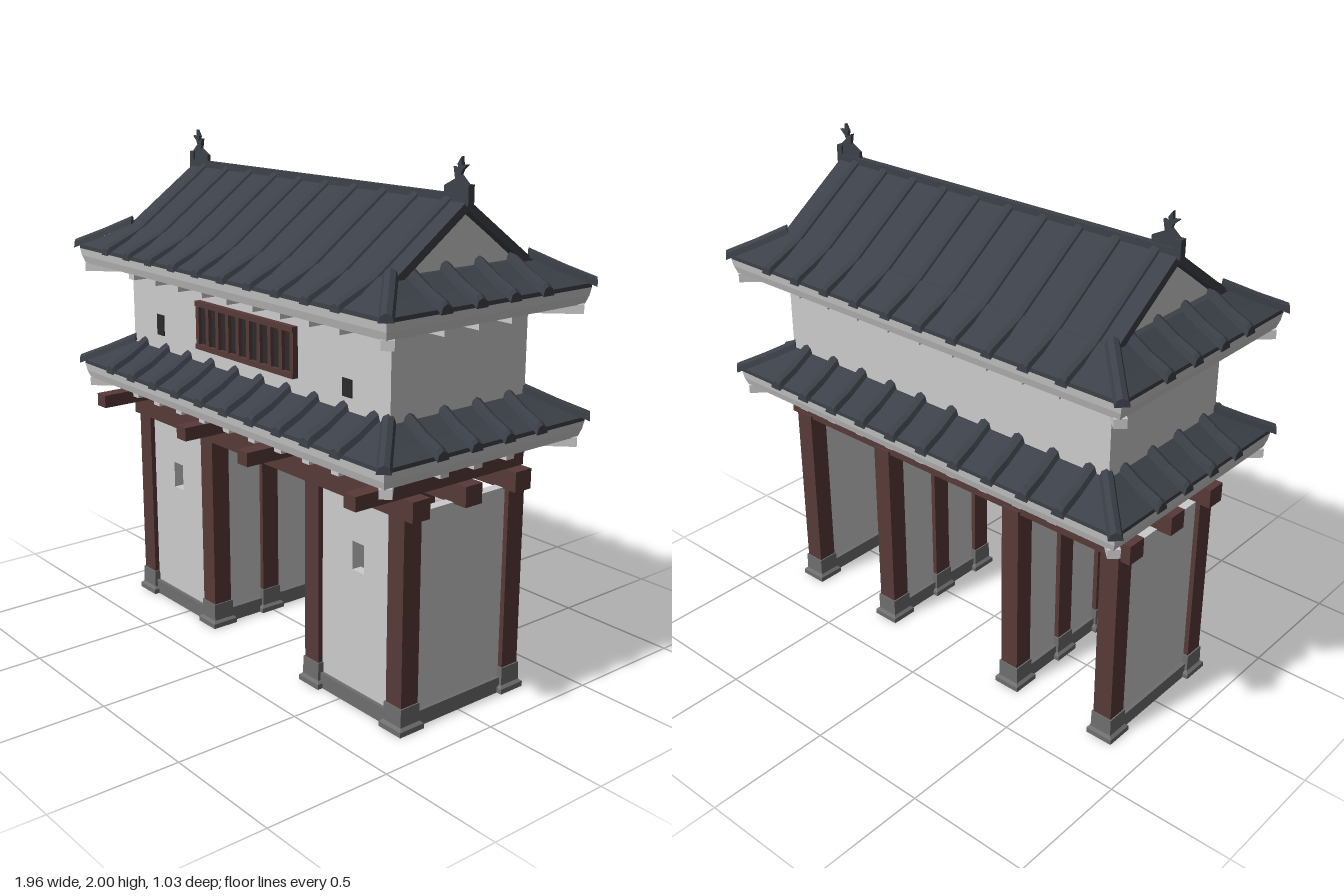
import * as THREE from 'three';

const mat = (color) => new THREE.MeshStandardMaterial({ color, flatShading: true });
const V = (x, y, z) => new THREE.Vector3(x, y, z);

// Flat-shaded skin over closed rings that run counter-clockwise about the direction of travel
function loft(rings) {
  const pos = [];
  const tri = (...pts) => pts.forEach((p) => pos.push(p.x, p.y, p.z));
  const n = rings[0].length;
  for (let k = 0; k + 1 < rings.length; k++) {
    for (let i = 0; i < n; i++) {
      const j = (i + 1) % n, a = rings[k], b = rings[k + 1];
      tri(a[i], a[j], b[j]);
      tri(a[i], b[j], b[i]);
    }
  }
  const first = rings[0], last = rings[rings.length - 1];
  for (let i = 1; i + 1 < n; i++) {
    tri(first[0], first[i + 1], first[i]);
    tri(last[0], last[i], last[i + 1]);
  }
  const g = new THREE.BufferGeometry();
  g.setAttribute('position', new THREE.Float32BufferAttribute(pos, 3));
  g.computeVertexNormals();
  return g;
}

// Stacked rectangles [halfX, halfZ, y]
const stack = (levels) => loft(levels.map(([x, z, y]) =>
  [V(x, y, z), V(x, y, -z), V(-x, y, -z), V(-x, y, z)]));

// Half-round tile roll along a path from eave to ridge; out is the horizontal outward direction
function roll(path, out, r, h) {
  const s = out.clone().cross(V(0, 1, 0)).normalize();
  return loft(path.map((p) => [0, 1, 2, 3, 4].map((k) => {
    const a = (k * Math.PI) / 4;
    return p.clone().addScaledVector(s, Math.cos(a) * r).add(V(0, Math.sin(a) * h, 0));
  })));
}

export function createModel() {
  const root = new THREE.Group();
  const grey = mat(0xcccccc), stone = mat(0x6e6e6e), wood = mat(0x573a38);
  const tile = mat(0x3c4149), dark = mat(0x2b2b2b);

  const add = (name, geo, m, parent = root) => {
    const mesh = new THREE.Mesh(geo, m);
    mesh.name = name;
    parent.add(mesh);
    return mesh;
  };
  // Box given by its extents
  const box = (name, m, x0, x1, y0, y1, z0, z1, parent = root) => {
    const mesh = add(name, new THREE.BoxGeometry(x1 - x0, y1 - y0, z1 - z0), m, parent);
    mesh.position.set((x0 + x1) / 2, (y0 + y1) / 2, (z0 + z1) / 2);
    return mesh;
  };

  // Posts on flared stone feet
  const post = (x, z) => {
    box('post', wood, x - 0.04, x + 0.04, 0.09, 0.82, z - 0.04, z + 0.04);
    const foot = stack([[0.057, 0.057, 0], [0.057, 0.057, 0.02], [0.046, 0.046, 0.03], [0.045, 0.045, 0.1]]);
    add('postFoot', foot, stone).position.set(x, 0, z);
  };
  for (const s of [-1, 1]) {
    post(s * 0.8, 0.25);
    post(s * 0.8, -0.26);
    for (const z of [0.25, 0, -0.26]) post(s * 0.34, z);

    // Side walls of each bay, open to the rear
    for (const x of [s * 0.8, s * 0.34]) {
      box('sideWall', grey, x - 0.02, x + 0.02, 0.06, 0.81, -0.23, 0.22);
      box('sidePlinth', stone, x - 0.035, x + 0.035, 0, 0.06, -0.23, 0.22);
    }
    // Front wall with a small opening
    const wall = new THREE.Shape();
    wall.moveTo(-0.2, 0.06).lineTo(0.2, 0.06).lineTo(0.2, 0.81).lineTo(-0.2, 0.81).closePath();
    const hole = new THREE.Path();
    const hx = s * 0.01;
    hole.moveTo(hx - 0.032, 0.53).lineTo(hx - 0.032, 0.64).lineTo(hx + 0.032, 0.64).lineTo(hx + 0.032, 0.53).closePath();
    wall.holes.push(hole);
    add('frontWall', new THREE.ExtrudeGeometry(wall, { depth: 0.04, bevelEnabled: false }), grey)
      .position.set(s * 0.57, 0, 0.23);
    box('frontPlinth', stone, s * 0.57 - 0.2, s * 0.57 + 0.2, 0, 0.06, 0.215, 0.285);
  }

  // Timber floor frame
  for (const z of [0.25, 0, -0.25]) {
    box('longBeam', wood, -0.88, 0.88, 0.805, 0.882, z - 0.04, z + 0.04);
    box('upperLongBeam', wood, -0.84, 0.84, 0.93, 0.975, z - 0.045, z + 0.045);
  }
  for (const x of [-0.8, -0.2, 0.2, 0.8]) box('crossBeam', wood, x - 0.03, x + 0.03, 0.882, 0.935, -0.3, 0.5);
  box('floor', wood, -0.82, 0.82, 0.965, 1.0, -0.3, 0.3);

  // Upper storey
  box('upperWall', grey, -0.8, 0.8, 0.985, 1.52, -0.325, 0.325);
  const grille = new THREE.Group();
  grille.name = 'grilleWindow';
  root.add(grille);
  box('grilleBack', dark, -0.3, 0.3, 1.21, 1.38, 0.32, 0.332, grille);
  for (const y of [1.2, 1.37]) box('grilleRail', wood, -0.31, 0.305, y, y + 0.02, 0.32, 0.35, grille);
  for (let i = 0; i <= 9; i++) {
    const x = -0.3 + i * 0.0661;
    box('grilleBar', wood, x - 0.01, x + 0.01, 1.215, 1.375, 0.32, 0.346, grille);
  }
  box('smallWindow', dark, -0.62, -0.57, 1.2, 1.285, 0.31, 0.329);
  box('smallWindow', dark, 0.555, 0.605, 1.19, 1.255, 0.31, 0.329);

  // Hipped skirt roof with eave band, rafters and tile rolls; y is the eave line
  const skirt = (y, longRolls) => {
    const roof = new THREE.Group();
    roof.name = 'skirtRoof';
    roof.position.y = y;
    root.add(roof);
    add('eave', stack([[0.79, 0.32, -0.045], [0.91, 0.445, -0.045], [0.915, 0.45, -0.06],
      [0.935, 0.47, -0.06], [0.945, 0.48, -0.03], [0.95, 0.485, 0]]), grey, roof);
    add('tileSlope', stack([[0.95, 0.485, 0], [0.95, 0.485, 0.015], [0.88, 0.41, 0.05], [0.8, 0.33, 0.1]]), tile, roof);
    for (const turn of [0, 1, 2, 3]) {
      const side = new THREE.Group();
      side.name = 'roofSide';
      side.rotation.y = (turn * Math.PI) / 2;
      roof.add(side);
      const d = turn % 2 ? 0.465 : 0;
      const count = turn % 2 ? 4 : 10;
      for (let i = 0; i < count; i++) {
        const x = (i - (count - 1) / 2) * 0.16;
        if (longRolls || turn % 2) {
          add('tileRoll', roll([V(x, 0, 0.502 + d), V(x, 0.012, 0.49 + d), V(x, 0.047, 0.412 + d), V(x, 0.1, 0.325 + d)],
            V(0, 0, 1), 0.028, 0.034), tile, side);
        }
        if (i) box('rafter', grey, x - 0.1, x - 0.06, -0.095, -0.045, 0.31 + d, 0.43 + d, side);
      }
    }
    // Hip ridges and corner rafters
    for (const sx of [-1, 1]) for (const sz of [-1, 1]) {
      const at = (x, z, h) => V(sx * x, h, sz * z);
      const out = V(sx, 0, sz);
      add('hipRidge', roll([at(0.962, 0.497, 0.005), at(0.95, 0.485, 0.012), at(0.88, 0.415, 0.05), at(0.79, 0.325, 0.105)],
        out, 0.026, 0.032), tile, roof);
      const rafter = add('cornerRafter', new THREE.BoxGeometry(0.045, 0.035, 0.24), grey, roof);
      rafter.position.set(sx * 0.85, -0.075, sz * 0.38);
      rafter.rotation.y = Math.atan2(sx, sz);
    }
  };
  skirt(1.04, true);
  skirt(1.53, false);

  // Gabled main roof
  const profile = (pts) => {
    const sh = new THREE.Shape();
    pts.forEach(([z, y], i) => (i ? sh.lineTo(z, y) : sh.moveTo(z, y)));
    sh.closePath();
    return sh;
  };
  const alongX = (name, pts, half, m) => {
    const g = new THREE.ExtrudeGeometry(profile(pts), { depth: half * 2, bevelEnabled: false });
    g.translate(0, 0, -half);
    add(name, g, m).rotation.y = Math.PI / 2;
  };
  alongX('mainRoof', [[0.36, 1.605], [0, 1.86], [-0.36, 1.605], [-0.33, 1.59], [0, 1.822], [0.33, 1.59]], 0.81, tile);
  alongX('gableWall', [[-0.31, 1.6], [0.31, 1.6], [0, 1.825]], 0.775, grey);
  for (const turn of [0, Math.PI]) {
    const slope = new THREE.Group();
    slope.name = 'roofSlope';
    slope.rotation.y = turn;
    root.add(slope);
    for (let i = 0; i < 10; i++) {
      const x = (i - 4.5) * 0.16;
      add('longTileRoll', roll([V(x, 1.53, 0.502), V(x, 1.54, 0.49), V(x, 1.6, 0.35), V(x, 1.845, 0.005)],
        V(0, 0, 1), 0.024, 0.03), tile, slope);
    }
  }
  box('ridgeCap', tile, -0.81, 0.81, 1.835, 1.875, -0.014, 0.014);

  // Upturned fish-tail finials at both ridge ends
  for (const turn of [0, Math.PI]) {
    const finial = new THREE.Group();
    finial.name = 'ridgeFinial';
    finial.rotation.y = turn;
    root.add(finial);
    box('ridgeEnd', tile, 0.795, 0.822, 1.84, 1.91, -0.014, 0.014, finial);
    const body = profile([[0.7, 1.875], [0.81, 1.875], [0.815, 1.905], [0.775, 1.94], [0.782, 1.955], [0.805, 1.975],
      [0.78, 1.972], [0.778, 2.0], [0.76, 1.975], [0.765, 1.955], [0.742, 1.965], [0.75, 1.925], [0.7, 1.9]]);
    const g = new THREE.ExtrudeGeometry(body, { depth: 0.014, bevelEnabled: false });
    g.translate(0, 0, -0.007);
    add('fishTail', g, tile, finial);
  }
  return root;
}
